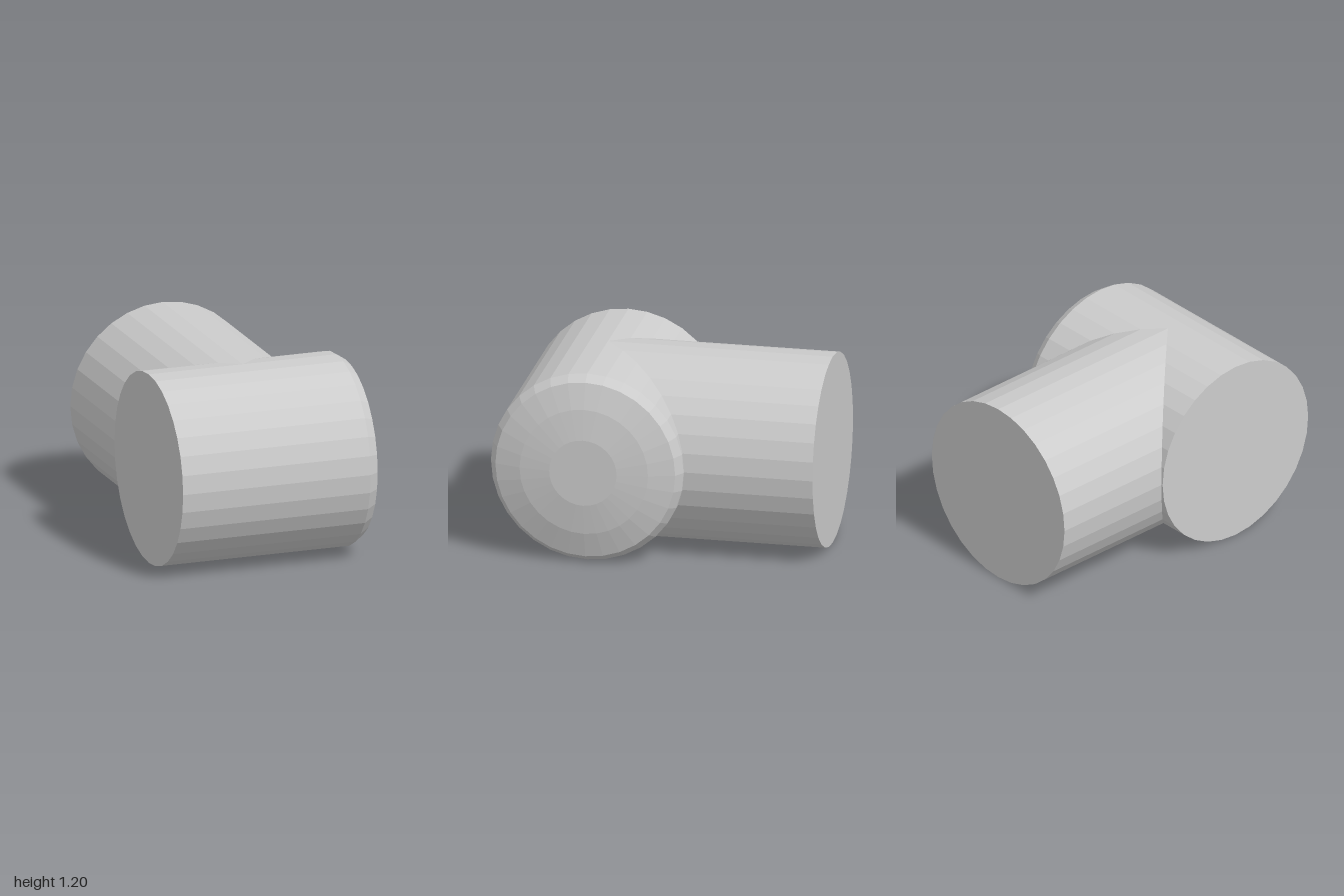
import * as THREE from 'three';

const R = 0.6, SIDES = 32, AXIS_Z = 0.4, BRANCH_X = -0.065;

const material = new THREE.MeshStandardMaterial({
  color: 0xcccccc, flatShading: true, side: THREE.DoubleSide,
});

// Turned part from [radius, height] pairs, listed bottom to top
function turned(name, profile) {
  const points = profile.map(([r, h]) => new THREE.Vector2(r, h));
  const mesh = new THREE.Mesh(new THREE.LatheGeometry(points, SIDES), material);
  mesh.name = name;
  return mesh;
}

export function createModel() {
  const group = new THREE.Group();
  group.name = 'teeFitting';

  // Main barrel along x: flat at one end, shallow domed cap at the other
  const barrel = turned('mainBarrel', [
    [0, -0.675], [R, -0.675], [R, 0.545], [0.56, 0.605],
    [0.4, 0.65], [0.21, 0.675], [0, 0.675],
  ]);
  barrel.geometry.rotateZ(-Math.PI / 2);
  barrel.position.set(0, R, AXIS_Z);
  group.add(barrel);

  // Branch pipe along z: flat back end, front end mitred into the barrel
  const branch = turned('branchPipe', [[0, -1], [R, -1], [R, AXIS_Z]]);
  branch.geometry.rotateX(Math.PI / 2);
  const pos = branch.geometry.attributes.position;
  for (let i = 0; i < pos.count; i++) {
    if (pos.getZ(i) > 0) pos.setZ(i, AXIS_Z - Math.abs(pos.getX(i)));
  }
  branch.geometry.computeVertexNormals();
  branch.position.set(BRANCH_X, R, 0);
  group.add(branch);

  return group;
}
